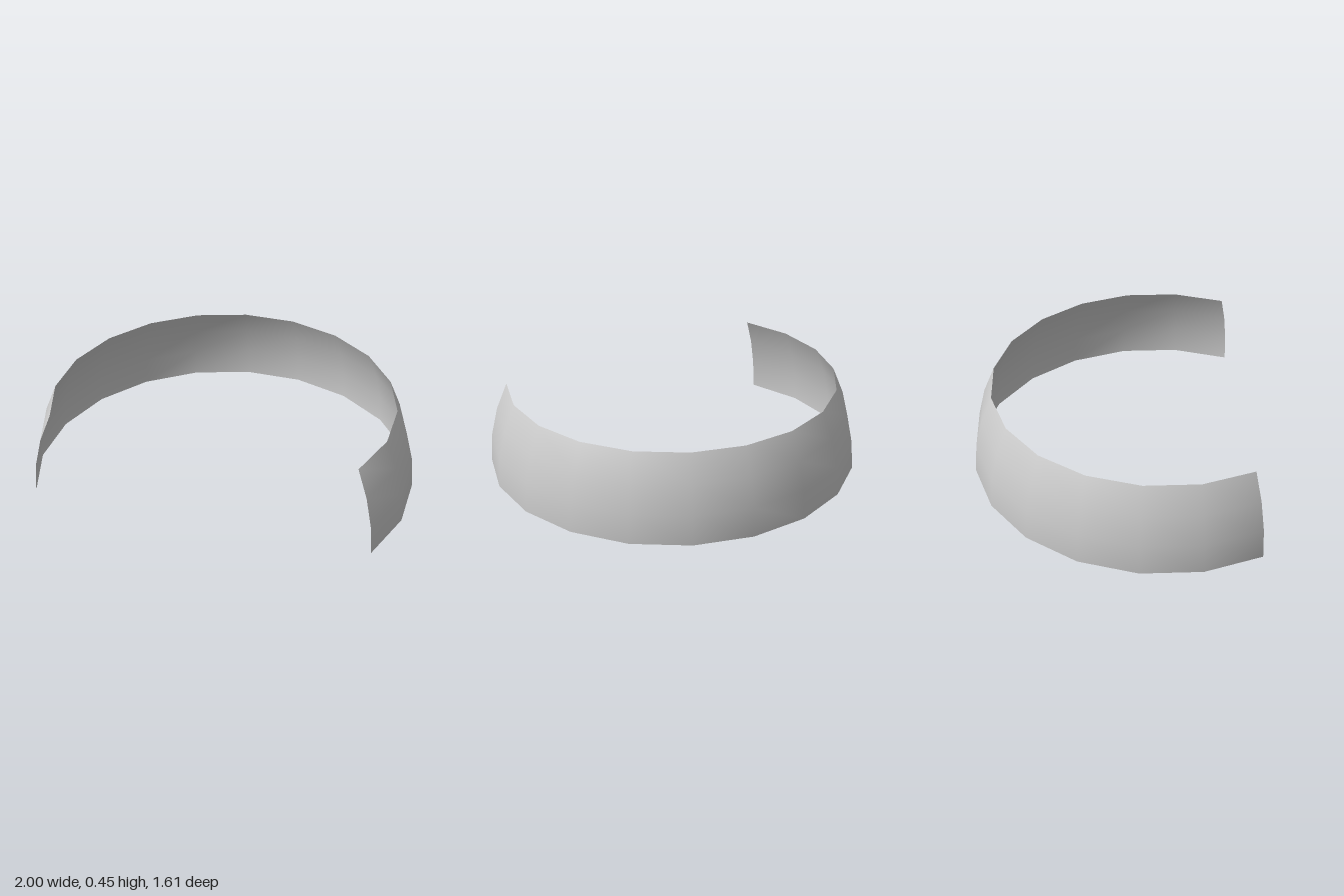
import * as THREE from 'three';

const rad = THREE.MathUtils.degToRad;

export function createModel() {
  const group = new THREE.Group();
  group.name = 'openBand';

  // Thin band cut from a unit sphere: 13 segments of 18 degrees around,
  // three rows of 9 degrees up from the equator, open at the front
  const geometry = new THREE.SphereGeometry(
    1, 13, 3,
    rad(-196.3), rad(13 * 18),
    rad(63), rad(27)
  );
  geometry.translate(0, 0, 0.194);

  const material = new THREE.MeshStandardMaterial({ color: 0xcccccc, side: THREE.DoubleSide });
  const band = new THREE.Mesh(geometry, material);
  band.name = 'curvedBand';
  group.add(band);
  return group;
}
